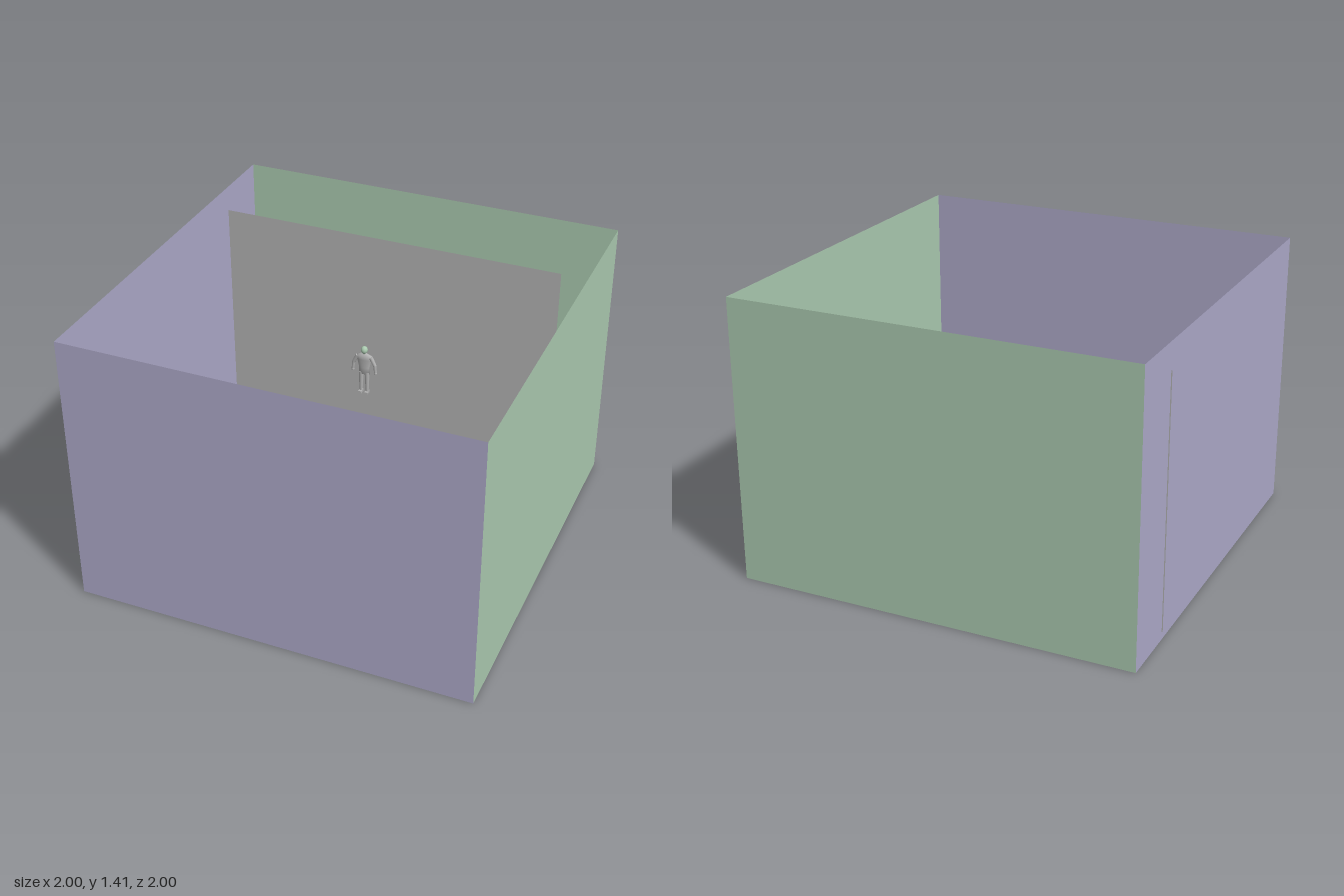
import * as THREE from 'three';

const paint = (name, color, side = THREE.FrontSide) => {
  const m = new THREE.MeshStandardMaterial({ color, side });
  m.name = name;
  return m;
};

export function createModel() {
  const lilac = paint('lilac', 0xada9c9, THREE.DoubleSide);
  const green = paint('pale green', 0xabcab0, THREE.DoubleSide);
  const grey = paint('grey', 0xb3b3b3, THREE.DoubleSide);
  const root = new THREE.Group();
  root.name = 'openRoom';

  const add = (parent, name, geometry, material, x, y, z) => {
    const mesh = new THREE.Mesh(geometry, material);
    mesh.name = name;
    mesh.position.set(x, y, z);
    parent.add(mesh);
    return mesh;
  };

  // Open-topped room made of single-sheet walls
  const W = 1.995, H = 1.41, cx = 0.0025, h = W / 2;
  const wall = () => new THREE.PlaneGeometry(W, H);
  add(root, 'frontWall', wall(), lilac, cx, H / 2, h);
  add(root, 'backWall', wall(), green, cx, H / 2, -h).rotation.y = Math.PI;
  add(root, 'leftWall', wall(), green, cx + h, H / 2, 0).rotation.y = Math.PI / 2;
  add(root, 'rightWall', wall(), lilac, cx - h, H / 2, 0).rotation.y = -Math.PI / 2;
  add(root, 'floor', new THREE.PlaneGeometry(W, W), lilac, cx, 0, 0).rotation.x = -Math.PI / 2;

  // Thin screen that just pokes through one wall
  add(root, 'screen', new THREE.PlaneGeometry(1.81, 1.24), grey, -0.095, 0.66, -0.69);

  // Small figure hovering in front of the screen
  const figure = new THREE.Group();
  figure.name = 'figure';
  figure.position.set(-0.1, 0.55, -0.39);
  root.add(figure);

  const limb = (name, from, to, r1, r2) => {
    const a = new THREE.Vector3(...from), b = new THREE.Vector3(...to);
    const dir = b.clone().sub(a), mid = a.clone().add(b).multiplyScalar(0.5);
    const mesh = add(figure, name, new THREE.CylinderGeometry(r2, r1, dir.length(), 10), grey, mid.x, mid.y, mid.z);
    mesh.quaternion.setFromUnitVectors(new THREE.Vector3(0, 1, 0), dir.normalize());
  };

  // Flattened torso, widest at the shoulders
  const profile = [[0, 0.115], [0.03, 0.115], [0.028, 0.15], [0.04, 0.2], [0.042, 0.222], [0.012, 0.235], [0, 0.235]];
  const torso = new THREE.LatheGeometry(profile.map(([x, y]) => new THREE.Vector2(x, y)), 16);
  add(figure, 'torso', torso, grey, 0, 0, 0).scale.z = 0.4;
  limb('neck', [0, 0.23, 0], [0, 0.242, 0], 0.009, 0.009);
  add(figure, 'head', new THREE.SphereGeometry(0.018, 16, 12), green, 0, 0.253, 0).scale.y = 1.15;

  // Arms and legs, mirrored
  for (const [side, s] of [['left', 1], ['right', -1]]) {
    limb(side + 'UpperArm', [s * 0.036, 0.216, 0], [s * 0.058, 0.172, 0], 0.011, 0.009);
    limb(side + 'Forearm', [s * 0.058, 0.174, 0], [s * 0.062, 0.13, 0], 0.009, 0.007);
    add(figure, side + 'Hand', new THREE.SphereGeometry(0.008, 10, 8), grey, s * 0.062, 0.126, 0);
    limb(side + 'Leg', [s * 0.016, 0.125, 0], [s * 0.017, 0.008, 0], 0.013, 0.008);
    add(figure, side + 'Foot', new THREE.BoxGeometry(0.018, 0.012, 0.032), grey, s * 0.017, 0.006, 0.004);
  }
  return root;
}
